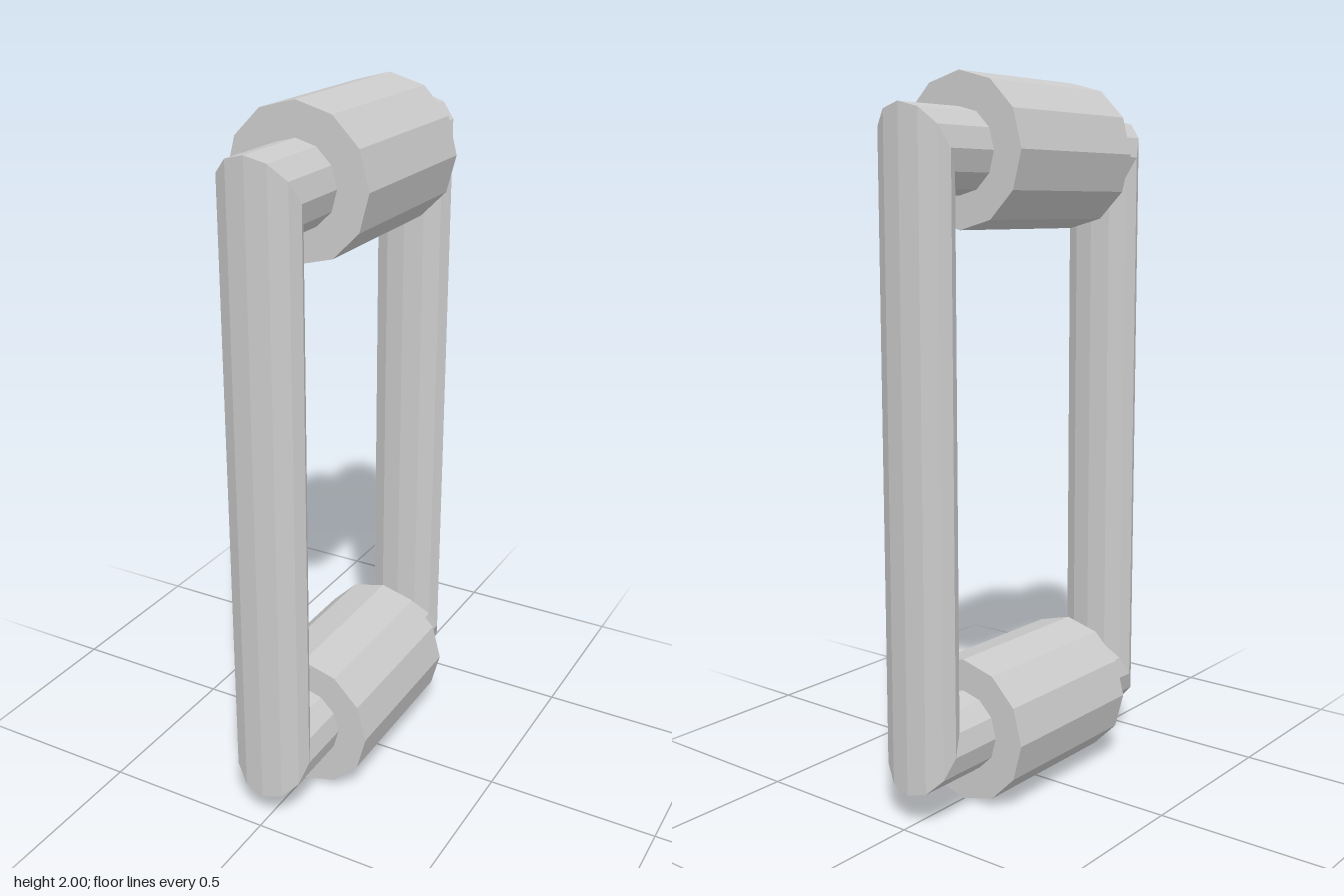
import * as THREE from 'three';

const SIDES = 12;

// Mitred rectangular loop: a twelve-sided section placed at each of four corners
function frameGeometry() {
  const corners = [[1, 1], [1, -1], [-1, -1], [-1, 1]]; // signs of z and y
  const pos = [], index = [];
  corners.forEach(([sz, sy], i) => {
    for (let j = 0; j < SIDES; j++) {
      const v = (j / SIDES) * Math.PI * 2;
      const c = Math.cos(v);
      pos.push(
        0.116 * Math.sin(v),
        1 + sy * (0.794 + 0.114 * c),
        sz * (0.418 + 0.066 * c)
      );
      const a = i * SIDES + j;
      const b = i * SIDES + (j + 1) % SIDES;
      const next = ((i + 1) % 4) * SIDES;
      const d = next + j;
      const e = next + (j + 1) % SIDES;
      index.push(a, d, b, b, d, e);
    }
  });
  const geo = new THREE.BufferGeometry();
  geo.setAttribute('position', new THREE.Float32BufferAttribute(pos, 3));
  geo.setIndex(index);
  geo.computeVertexNormals();
  return geo;
}

export function createModel() {
  const group = new THREE.Group();
  const material = new THREE.MeshStandardMaterial({ color: 0xcccccc, flatShading: true });

  const frame = new THREE.Mesh(frameGeometry(), material);
  frame.name = 'frame';
  group.add(frame);

  // Sleeves around the top and bottom bars
  const sleeveGeo = new THREE.CylinderGeometry(0.205, 0.205, 0.5, SIDES).rotateX(Math.PI / 2);
  for (const [name, y] of [['topSleeve', 1.795], ['bottomSleeve', 0.205]]) {
    const sleeve = new THREE.Mesh(sleeveGeo, material);
    sleeve.name = name;
    sleeve.position.y = y;
    group.add(sleeve);
  }
  return group;
}
